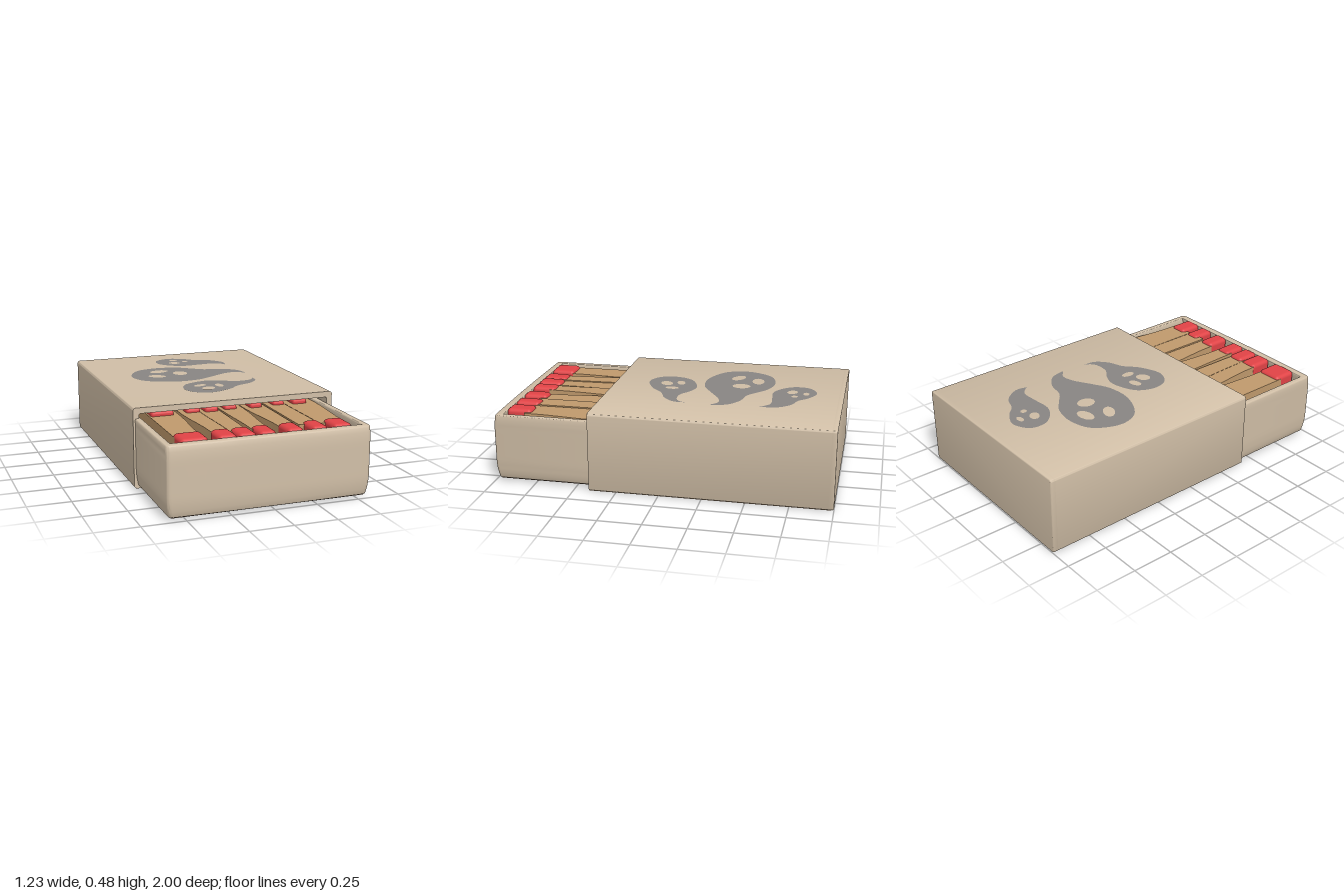
import * as THREE from 'three';
import { toCreasedNormals } from 'three/addons/utils/BufferGeometryUtils.js';
import { RoundedBoxGeometry } from 'three/addons/geometries/RoundedBoxGeometry.js';

const material = (name, color) => {
  const m = new THREE.MeshStandardMaterial({ color });
  m.name = name;
  return m;
};

function roundedRect(x0, y0, x1, y1, r) {
  const s = new THREE.Shape();
  s.absarc(x1 - r, y1 - r, r, 0, Math.PI / 2);
  s.absarc(x0 + r, y1 - r, r, Math.PI / 2, Math.PI);
  s.absarc(x0 + r, y0 + r, r, Math.PI, Math.PI * 1.5);
  s.absarc(x1 - r, y0 + r, r, Math.PI * 1.5, Math.PI * 2);
  s.closePath();
  return s;
}

export function createModel() {
  const card = material('card beige', 0xd1bfa7);
  const underside = material('underside tan', 0xb8926a);
  const brown = material('dark brown', 0x784a2c);
  const shade = material('gap brown', 0x93745a);
  const wood = material('match wood', 0xbf996c);
  const red = material('match red', 0xe04346);
  const grey = material('print grey', 0x888583);

  const model = new THREE.Group();
  model.name = 'matchbox';
  const add = (name, geometry, mat, parent = model) => {
    const mesh = new THREE.Mesh(geometry, mat);
    mesh.name = name;
    parent.add(mesh);
    return mesh;
  };

  // Sleeve: hollow tube, open at the front
  const ring = roundedRect(-0.617, 0.002, 0.616, 0.474, 0.016);
  ring.holes.push(roundedRect(-0.582, 0.008, 0.582, 0.44, 0.01));
  const tube = new THREE.ExtrudeGeometry(ring, { depth: 1.38, bevelEnabled: false, curveSegments: 5 });
  tube.translate(0, 0, -0.97);
  add('sleeve', toCreasedNormals(tube, 0.6), card);

  // Closed back end with a soft edge
  const back = new THREE.ExtrudeGeometry(roundedRect(-0.617, 0.002, 0.616, 0.474, 0.016), {
    depth: 0.022, bevelThickness: 0.008, bevelSize: 0.008, bevelOffset: -0.008, bevelSegments: 3, curveSegments: 5
  });
  back.translate(0, 0, -0.992);
  add('sleeveBack', toCreasedNormals(back, 0.6), card);

  // Thin plate under the sleeve
  const under = add('sleeveUnderside', new THREE.BoxGeometry(1.21, 0.005, 1.395), underside);
  under.position.set(0, 0.0025, -0.29);

  // Tray walls: a U-shaped plan pulled upwards, tucked in along the bottom
  const plan = new THREE.Shape();
  plan.moveTo(-0.605, 0.4);
  plan.lineTo(-0.605, -0.972);
  plan.quadraticCurveTo(-0.603, -0.992, -0.58, -0.994);
  plan.quadraticCurveTo(-0.01, -1.006, 0.545, -0.994);
  plan.quadraticCurveTo(0.57, -0.992, 0.573, -0.972);
  plan.lineTo(0.573, 0.4);
  plan.lineTo(0.537, 0.4);
  plan.lineTo(0.537, -0.948);
  plan.lineTo(-0.567, -0.948);
  plan.lineTo(-0.567, 0.4);
  plan.closePath();
  const walls = new THREE.ExtrudeGeometry(plan, {
    depth: 0.38, steps: 14, bevelThickness: 0.008, bevelSize: 0.008, bevelOffset: -0.008, bevelSegments: 3, curveSegments: 12
  });
  walls.rotateX(-Math.PI / 2);
  walls.translate(0, 0.024, 0);
  const p = walls.attributes.position;
  for (let i = 0; i < p.count; i++) {
    const y = p.getY(i);
    const low = Math.max(0, 1 - y / 0.13) ** 2;
    const high = Math.max(0, (y - 0.32) / 0.09) ** 2;
    p.setX(i, -0.016 + (p.getX(i) + 0.016) * (1 - 0.03 * low));
    if (p.getZ(i) > 0.9) p.setZ(i, p.getZ(i) - 0.018 * low - 0.01 * high);
  }
  add('trayWalls', toCreasedNormals(walls, 0.7), card);

  // Tray base, and the packed layer below the matches
  const base = add('trayBase', new RoundedBoxGeometry(1.13, 0.02, 1.37, 2, 0.006), brown);
  base.position.set(-0.016, 0.02, 0.285);
  const bed = add('trayBed', new THREE.BoxGeometry(1.12, 0.24, 1.3), shade);
  bed.position.set(-0.016, 0.15, 0.3);

  // Matches: head left and right, stick at the head, stick at the sleeve mouth
  const matches = [
    [-0.51, -0.355, -0.51, -0.36, -0.51, -0.337],
    [-0.3, -0.195, -0.295, -0.197, -0.325, -0.21],
    [-0.185, -0.085, -0.19, -0.09, -0.203, -0.086],
    [-0.065, 0.03, -0.068, 0.03, -0.08, 0.058],
    [0.095, 0.19, 0.098, 0.2, 0.068, 0.203],
    [0.24, 0.332, 0.208, 0.328, 0.21, 0.326],
    [0.368, 0.478, 0.337, 0.49, 0.334, 0.522]
  ];
  matches.forEach(([h0, h1, e0, e1, s0, s1], i) => {
    const match = new THREE.Group();
    match.name = 'match' + (i + 1);
    model.add(match);

    // Stick narrows slightly from the sleeve towards the head
    const stick = new THREE.BoxGeometry(1, 0.12, 1, 1, 1, 10);
    const q = stick.attributes.position;
    for (let k = 0; k < q.count; k++) {
      const z = -0.3 + (q.getZ(k) + 0.5) * 1.13;
      const f = THREE.MathUtils.smoothstep(z, 0.38, 0.78);
      const left = THREE.MathUtils.lerp(s0, e0, f);
      const right = THREE.MathUtils.lerp(s1, e1, f);
      q.setXYZ(k, THREE.MathUtils.lerp(left, right, q.getX(k) + 0.5), q.getY(k) + 0.346 + (i % 2) * 0.004, z);
    }
    stick.computeVertexNormals();
    add('stick', stick, wood, match);

    const head = add('head', new RoundedBoxGeometry(h1 - h0, 0.17, 0.152, 3, 0.024), red, match);
    head.position.set((h0 + h1) / 2, 0.338, 0.867);

    // Head of the match packed the other way, just inside the sleeve
    const innerHead = add('innerHead', new RoundedBoxGeometry(h1 - h0 - 0.02, 0.05, 0.12, 2, 0.015), red, match);
    innerHead.position.set((h0 + h1) / 2, 0.407, 0.32);
  });

  // Printed ghosts: outline starts at the tail tip; points are x, z
  // Holes are x, z, radius x, radius z, turn
  const ghosts = [
    {
      outline: [[0.32, -0.25], [0.295, -0.34], [0.21, -0.405], [0.1, -0.43], [0.02, -0.49], [-0.06, -0.545], [-0.19, -0.567],
        [-0.33, -0.52], [-0.405, -0.37], [-0.36, -0.23], [-0.2, -0.146], [-0.04, -0.15], [0.08, -0.21], [0.18, -0.268], [0.26, -0.285], [0.31, -0.25]],
      holes: [[-0.2, -0.46, 0.062, 0.038, 0.15], [-0.25, -0.33, 0.058, 0.036, -0.5], [-0.083, -0.37, 0.046, 0.056, 0]]
    },
    {
      outline: [[0.288, -0.53], [0.298, -0.61], [0.235, -0.7], [0.14, -0.74], [0.08, -0.795], [-0.02, -0.838], [-0.115, -0.79],
        [-0.13, -0.7], [-0.08, -0.625], [0.01, -0.578], [0.13, -0.585], [0.22, -0.59], [0.265, -0.565]],
      holes: [[-0.02, -0.69, 0.038, 0.03, -0.5], [0, -0.775, 0.03, 0.018, 0], [0.062, -0.71, 0.018, 0.02, 0]]
    },
    {
      outline: [[0.305, -0.095], [0.298, -0.02], [0.235, 0.045], [0.14, 0.085], [0.06, 0.155], [-0.07, 0.205], [-0.17, 0.16],
        [-0.2, 0.06], [-0.15, -0.05], [-0.015, -0.105], [0.08, -0.085], [0.16, -0.035], [0.24, -0.032], [0.285, -0.055]],
      holes: [[-0.078, 0.005, 0.042, 0.025, 0.3], [0.035, 0.04, 0.024, 0.042, 0], [-0.052, 0.09, 0.045, 0.036, 0.6]]
    }
  ];
  ghosts.forEach(({ outline, holes }, i) => {
    const pts = outline.map(([x, z]) => new THREE.Vector2(x, -z));
    const shape = new THREE.Shape();
    shape.moveTo(pts[0].x, pts[0].y);
    shape.splineThru([...pts.slice(1), pts[0].clone()]);
    for (const [x, z, rx, rz, turn] of holes) {
      const hole = new THREE.Path();
      hole.absellipse(x, -z, rx, rz, 0, Math.PI * 2, true, turn);
      shape.holes.push(hole);
    }
    const print = new THREE.ShapeGeometry(shape, 6);
    print.rotateX(-Math.PI / 2);
    print.translate(0, 0.476, 0);
    add('printedGhost' + (i + 1), print, grey);
  });

  return model;
}
